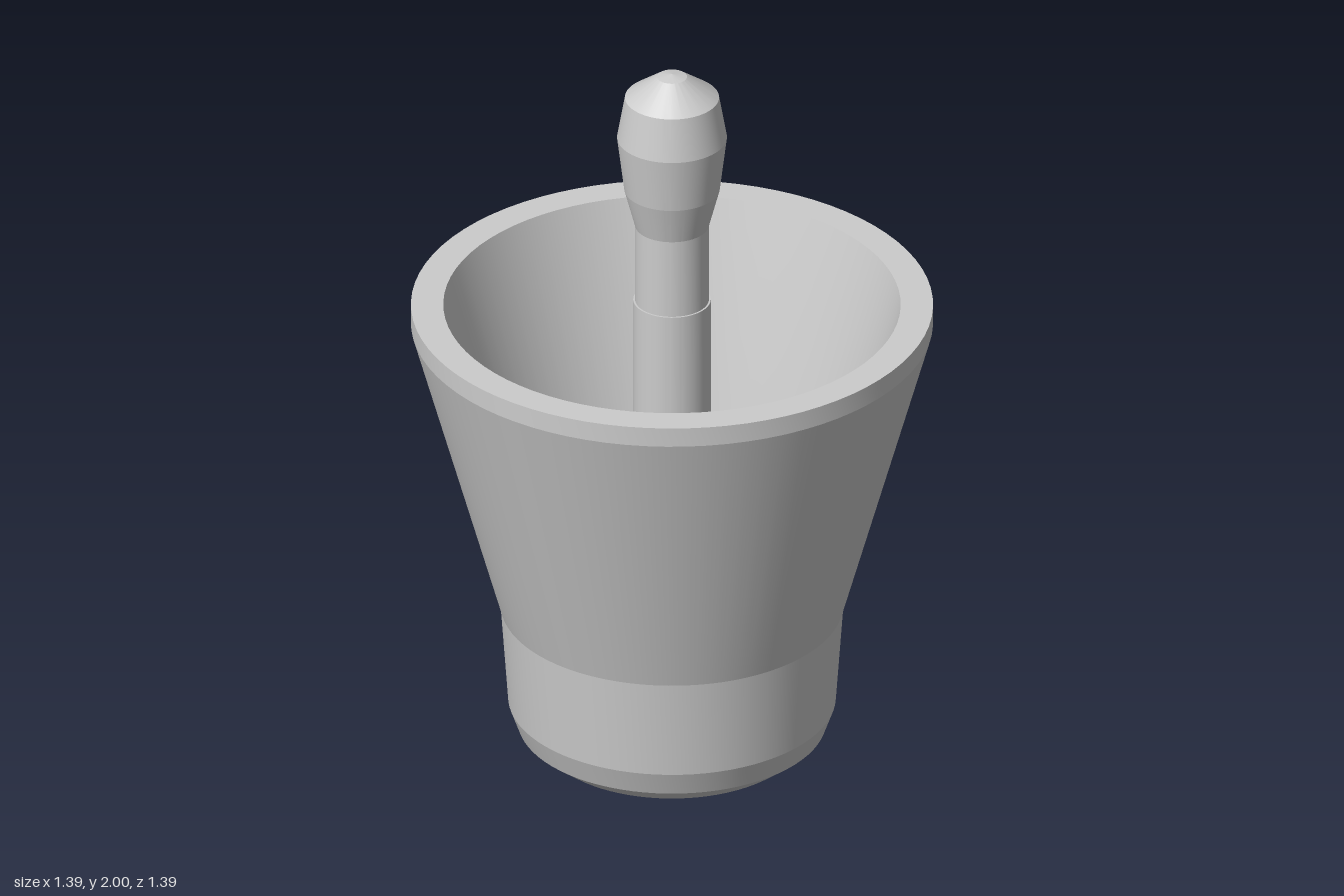
import * as THREE from 'three';
import { toCreasedNormals } from 'three/addons/utils/BufferGeometryUtils.js';

// Turned part: profile of [radius, height], smooth around, creased between bands
function turned(name, profile) {
  const points = profile.map(([r, y]) => new THREE.Vector2(r, y));
  const geometry = toCreasedNormals(new THREE.LatheGeometry(points, 80), 0.12);
  const mesh = new THREE.Mesh(geometry, new THREE.MeshStandardMaterial({ color: 0xcccccc }));
  mesh.name = name;
  return mesh;
}

export function createModel() {
  const group = new THREE.Group();
  group.name = 'mortarAndPestle';

  // Bowl: base, outer wall, flat rim, then the inner wall down to the floor
  group.add(turned('mortar', [
    [0, 0], [0.345, 0], [0.41, 0.05], [0.435, 0.12], [0.455, 0.4],
    [0.693, 1.25], [0.693, 1.305], [0.607, 1.305],
    [0.37, 0.45], [0.325, 0.2], [0, 0.2],
  ]));

  // Pestle: grinding head on the floor, stem and swelling grip
  group.add(turned('pestle', [
    [0, 0.2], [0.17, 0.2], [0.195, 0.25], [0.199, 0.35], [0.147, 0.62],
    [0.103, 0.8], [0.103, 1.32], [0.098, 1.32], [0.098, 1.545],
    [0.127, 1.655], [0.146, 1.81], [0.125, 1.93], [0.04, 1.992], [0, 2],
  ]));

  return group;
}
